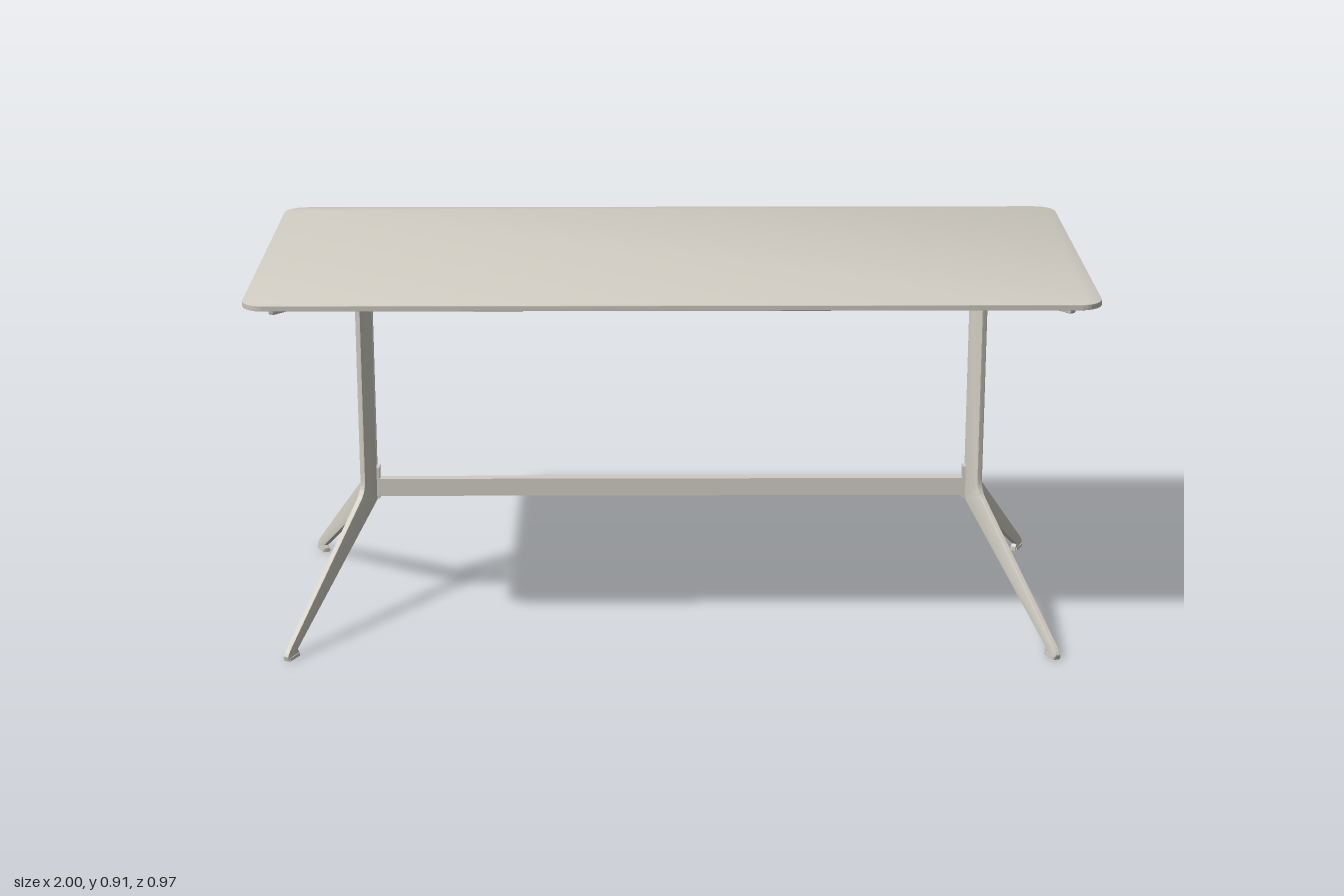
import * as THREE from 'three';
import { toCreasedNormals } from 'three/addons/utils/BufferGeometryUtils.js';

// Rounded rectangle in the plan (x, z) plane
function roundedRect(w, d, r) {
  const x = w / 2, z = d / 2, s = new THREE.Shape();
  s.moveTo(-x + r, -z);
  s.lineTo(x - r, -z).absarc(x - r, -z + r, r, -Math.PI / 2, 0, false);
  s.lineTo(x, z - r).absarc(x - r, z - r, r, 0, Math.PI / 2, false);
  s.lineTo(-x + r, z).absarc(-x + r, z - r, r, Math.PI / 2, Math.PI, false);
  s.lineTo(-x, -z + r).absarc(-x + r, -z + r, r, Math.PI, Math.PI * 1.5, false);
  return s;
}

export function createModel() {
  const group = new THREE.Group();
  const paint = new THREE.MeshStandardMaterial({ color: 0xd0ccc2 });
  paint.name = 'warm grey paint';

  function add(name, geometry, x = 0, y = 0, z = 0) {
    const mesh = new THREE.Mesh(geometry, paint);
    mesh.name = name;
    mesh.position.set(x, y, z);
    group.add(mesh);
    return mesh;
  }
  // Box given by its lower and upper y
  function bar(name, w, y0, y1, d, x = 0, z = 0) {
    return add(name, new THREE.BoxGeometry(w, y1 - y0, d), x, (y0 + y1) / 2, z);
  }

  // Table top with slightly eased edges
  const bevel = 0.002;
  const topGeo = new THREE.ExtrudeGeometry(roundedRect(2, 0.97, 0.055), {
    depth: 0.014 - 2 * bevel, bevelSize: bevel, bevelThickness: bevel,
    bevelOffset: -bevel, bevelSegments: 2, curveSegments: 12,
  });
  topGeo.rotateX(-Math.PI / 2);
  add('tableTop', toCreasedNormals(topGeo, 0.6), 0, 0.899 + bevel, 0);

  // Frames under the top: thin outer ring and deeper inner rails
  for (const s of [-1, 1]) {
    bar('outerLongRail', 1.88, 0.885, 0.899, 0.016, 0, s * 0.407);
    bar('outerCrossRail', 0.016, 0.885, 0.899, 0.8, s * 0.932, 0);
    bar('innerLongRail', 1.7, 0.877, 0.899, 0.016, 0, s * 0.342);
    bar('innerCrossRail', 0.016, 0.877, 0.899, 0.67, s * 0.842, 0);
  }

  // Stretchers joining the two leg pairs
  bar('upperBeam', 1.47, 0.833, 0.88, 0.024);
  bar('lowerBeam', 1.47, 0.287, 0.332, 0.024);

  // Leg profile: z as seen from the end, stretched onto the splayed plane
  const dirX = 0.43, dirZ = 0.903, z0 = 0.012;
  const u = (z) => (z - z0) / dirZ;
  const leg = new THREE.Shape();
  leg.moveTo(u(0.012), 0.278);
  leg.lineTo(u(0.37), 0.018);
  leg.lineTo(u(0.365), 0.011);
  leg.lineTo(u(0.365), 0);
  leg.lineTo(u(0.408), 0);
  leg.lineTo(u(0.411), 0.012);
  leg.quadraticCurveTo(u(0.408), 0.02, u(0.4), 0.028);
  leg.lineTo(u(0.085), 0.3);
  leg.quadraticCurveTo(u(0.065), 0.317, u(0.065), 0.345);
  leg.lineTo(u(0.065), 0.78);
  leg.bezierCurveTo(u(0.065), 0.812, u(0.085), 0.834, u(0.118), 0.838);
  leg.lineTo(u(0.408), 0.871);
  leg.quadraticCurveTo(u(0.415), 0.872, u(0.415), 0.878);
  leg.lineTo(u(0.415), 0.898);
  leg.lineTo(u(0.012), 0.898);
  leg.closePath();

  const thick = 0.015, edge = 0.003;
  let legGeo = new THREE.ExtrudeGeometry(leg, {
    depth: thick - 2 * edge, bevelSize: edge, bevelThickness: edge,
    bevelOffset: -edge, bevelSegments: 2, curveSegments: 10,
  });
  legGeo.translate(0, 0, -thick / 2 + edge);
  legGeo = toCreasedNormals(legGeo, 0.6);

  // Foot glide, a little wider than the leg
  const padGeo = new THREE.BoxGeometry(0.044, 0.008, 0.019);

  for (const sx of [-1, 1]) {
    for (const sz of [-1, 1]) {
      const x = sx * dirX, z = sz * dirZ;
      const turn = new THREE.Matrix4().makeBasis(
        new THREE.Vector3(x, 0, z).normalize(),
        new THREE.Vector3(0, 1, 0),
        new THREE.Vector3(-z, 0, x).normalize());
      const name = (sz > 0 ? 'front' : 'back') + (sx > 0 ? 'Left' : 'Right');
      add(name + 'Leg', legGeo, sx * 0.745, 0, sz * z0).quaternion.setFromRotationMatrix(turn);
      const r = u(0.387);
      add(name + 'Foot', padGeo, sx * 0.745 + x * r, 0.004, sz * z0 + z * r)
        .quaternion.setFromRotationMatrix(turn);
    }

    // End brackets with screw heads between each pair of columns
    for (const [y0, y1, screws] of [[0.826, 0.878, [0.842, 0.862]], [0.28, 0.362, [0.295, 0.318]]]) {
      bar('bracket', 0.012, y0, y1, 0.026, sx * 0.738, 0);
      for (const y of screws) {
        const screw = new THREE.CylinderGeometry(0.004, 0.004, 0.004, 12).rotateZ(Math.PI / 2);
        add('screw', screw, sx * 0.745, y, 0);
      }
    }
  }
  return group;
}
